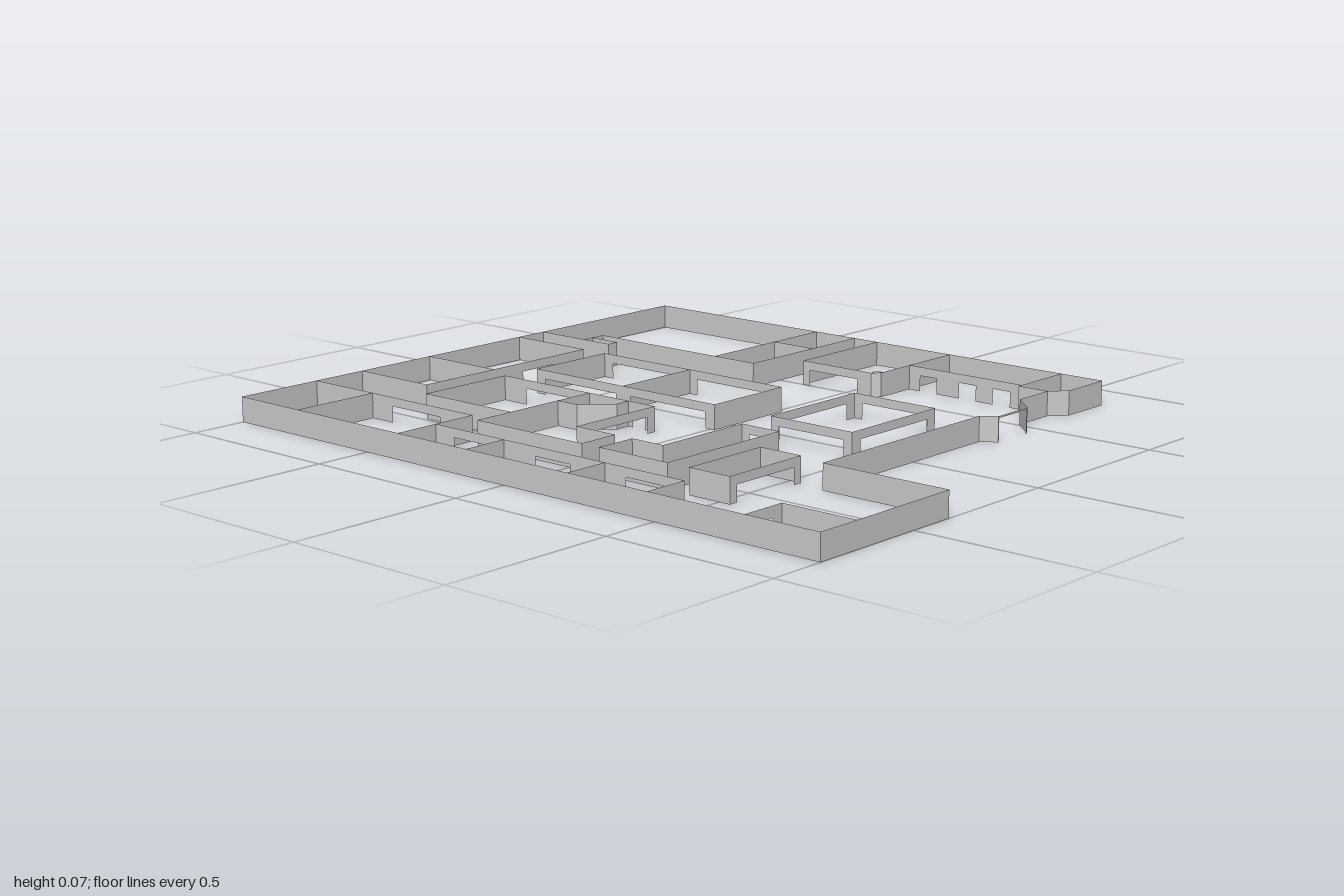
import * as THREE from 'three';

const H = 0.07;      // wall height
const FRONT = 0.045; // shop front opening height
const DOOR = 0.04;   // small door height

export function createModel() {
  const group = new THREE.Group();
  const material = new THREE.MeshStandardMaterial({ color: 0xcccccc, side: THREE.DoubleSide });

  // Thin upright wall from a to b; openings are [start, end, height], as fractions of its length
  function wall(name, a, b, openings = []) {
    const dx = b[0] - a[0], dz = b[1] - a[1];
    const length = Math.hypot(dx, dz);
    const shape = new THREE.Shape();
    shape.moveTo(0, 0);
    for (const [s, e, h] of openings) {
      shape.lineTo(s * length, 0);
      shape.lineTo(s * length, h);
      shape.lineTo(e * length, h);
      shape.lineTo(e * length, 0);
    }
    shape.lineTo(length, 0);
    shape.lineTo(length, H);
    shape.lineTo(0, H);
    const mesh = new THREE.Mesh(new THREE.ShapeGeometry(shape), material);
    mesh.name = name;
    mesh.position.set(a[0], 0, a[1]);
    mesh.rotation.y = Math.atan2(-dz, dx);
    group.add(mesh);
  }

  // Chain of walls through points; openings are keyed by segment number
  function run(name, points, openings = {}) {
    for (let i = 0; i < points.length - 1; i++) wall(name, points[i], points[i + 1], openings[i]);
  }

  // Closed rectangular room; segments are 0 back, 1 +x side, 2 front, 3 -x side
  function room(name, x0, z0, x1, z1, openings) {
    run(name, [[x0, z0], [x1, z0], [x1, z1], [x0, z1], [x0, z0]], openings);
  }

  const wide = [[0.1, 0.9, FRONT]];
  const twin = [[0.05, 0.46, FRONT], [0.54, 0.95, FRONT]];

  // Outer perimeter, with the entrance bay on the +x side
  run('outerWall', [
    [-1, -0.84], [0.63, -0.84], [0.63, -0.68], [0.59, -0.635], [0.59, -0.505],
    [0.66, -0.44], [0.66, -0.31], [0.62, -0.28], [0.62, 0.365], [1, 0.365],
    [1, 0.84], [-1, 0.84], [-1, -0.84],
  ], { 5: [[0.04, 0.98, 0.065]] });

  // Free-standing blocks in the middle
  room('centralBlock', -0.65, -0.2, 0.015, 0.075, { 0: twin, 2: twin });
  wall('centralDivider', [-0.32, -0.2], [-0.32, 0.075]);
  room('squareBlock', 0.21, -0.275, 0.48, 0.075, { 0: wide, 1: wide, 2: wide, 3: wide });
  room('smallBlock', 0.405, 0.345, 0.535, 0.61, { 1: wide });

  // Front-middle blocks
  run('cornerShop', [[-0.33, 0.49], [-0.655, 0.49], [-0.655, 0.195], [-0.33, 0.195]],
    { 2: [[0.26, 0.95, FRONT]] });
  run('steppedShop', [
    [-0.33, 0.195], [-0.09, 0.195], [-0.09, 0.49], [0.045, 0.49],
    [0.045, 0.61], [-0.33, 0.61], [-0.33, 0.195],
  ], { 0: [[0.67, 0.85, DOOR]], 1: wide });
  run('angledPartition', [[-0.185, 0.195], [-0.185, 0.24], [-0.26, 0.315], [-0.33, 0.315]]);
  run('hookedShop', [
    [0.21, 0.19], [0.335, 0.19], [0.335, 0.61], [0.105, 0.61],
    [0.105, 0.49], [0.21, 0.49], [0.21, 0.19],
  ], { 0: [[0.2, 0.8, FRONT]] });

  // Rooms along the -x side
  run('sideRooms', [[-1, -0.2], [-0.735, -0.2], [-0.735, 0.415], [-1, 0.415]],
    { 1: [[0.2, 0.4, FRONT], [0.7, 0.85, FRONT]] });
  wall('sideRoomDivider', [-1, 0.16], [-0.735, 0.16]);
  run('cornerRooms', [[-1, 0.58], [-0.38, 0.58], [-0.38, 0.84]],
    { 0: [[0.5, 0.8, FRONT]] });
  wall('cornerRoomDivider', [-0.77, 0.58], [-0.77, 0.84]);

  // Row of shops along the front
  run('frontShops', [[-0.38, 0.71], [0.48, 0.71], [0.48, 0.84]],
    { 0: [[0.08, 0.2, FRONT], [0.42, 0.56, FRONT], [0.78, 0.92, FRONT]] });
  for (const x of [-0.13, 0.22]) wall('frontShopDivider', [x, 0.71], [x, 0.84]);
  run('frontCornerRoom', [[1, 0.71], [0.78, 0.71], [0.78, 0.84]], { 1: [[0.25, 0.7, DOOR]] });

  // Back passage and closet on the -x side
  run('backHall', [[-0.24, -0.84], [-0.24, -0.38], [-0.83, -0.38], [-0.83, -0.3]]);
  wall('backHallWall', [-0.385, -0.84], [-0.385, -0.38]);
  wall('backHallDivider', [-0.385, -0.645], [-0.24, -0.645]);
  run('closet', [[-1, -0.3], [-0.73, -0.3], [-0.73, -0.335], [-0.83, -0.335]]);

  // Back rooms on the +x side
  run('backRoom', [[-0.155, -0.84], [-0.155, -0.5], [0.09, -0.5], [0.11, -0.52], [0.11, -0.84]],
    { 1: [[0.1, 0.8, FRONT]] });
  run('backRoomPost', [[0.09, -0.5], [0.085, -0.515], [0.1, -0.53], [0.11, -0.53]]);
  wall('backShopFront', [0.11, -0.65], [0.495, -0.65],
    [[0.1, 0.25, FRONT], [0.45, 0.6, FRONT], [0.75, 0.9, FRONT]]);
  run('backCornerRoom', [[0.495, -0.84], [0.495, -0.635], [0.59, -0.635]]);

  return group;
}
